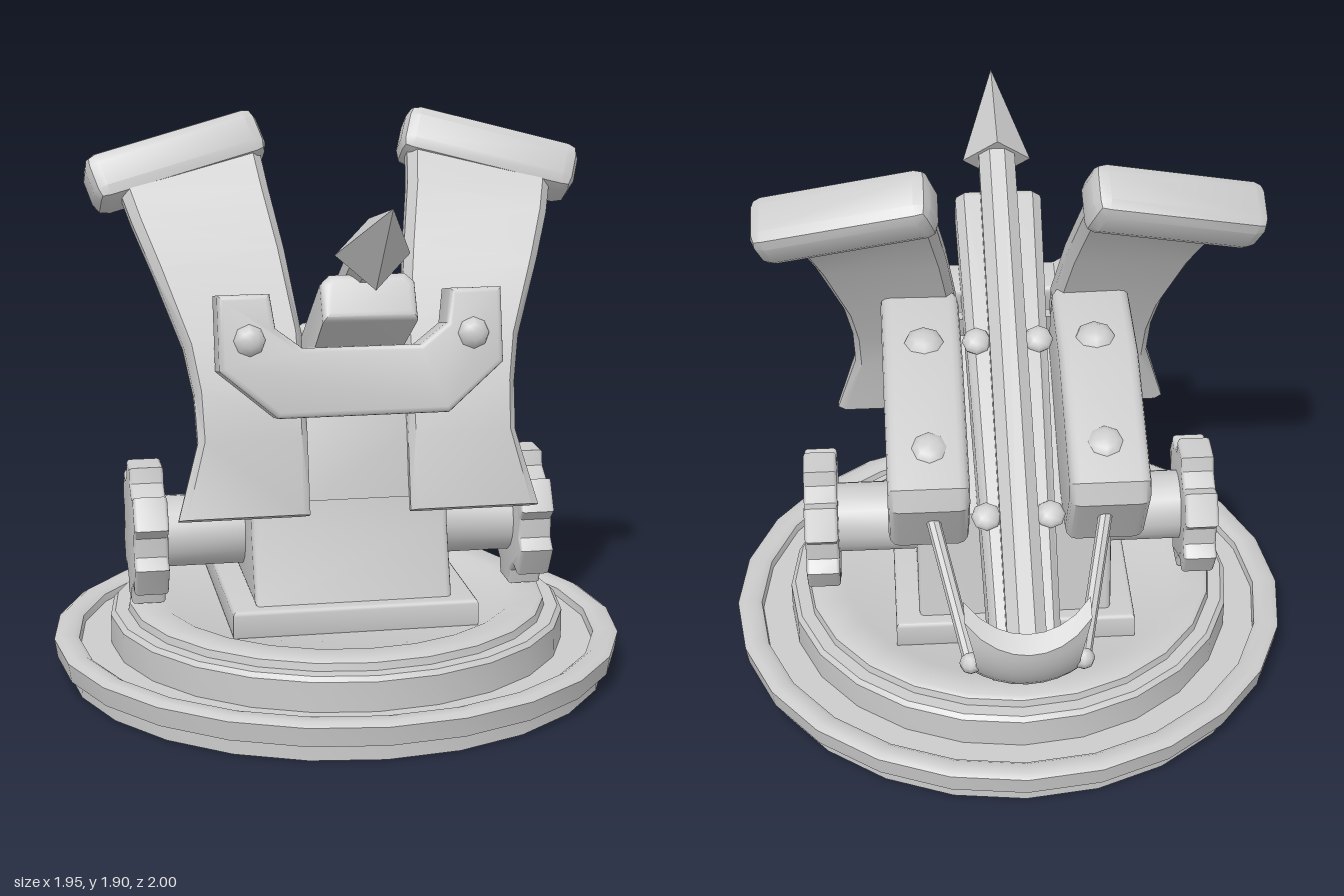
import * as THREE from 'three';
import { toCreasedNormals } from 'three/addons/utils/BufferGeometryUtils.js';
import { RoundedBoxGeometry } from 'three/addons/geometries/RoundedBoxGeometry.js';

const grey = new THREE.MeshStandardMaterial({ color: 0xcccccc });

function part(name, geometry, parent, x = 0, y = 0, z = 0, crease = 0.65) {
  const mesh = new THREE.Mesh(toCreasedNormals(geometry, crease), grey);
  mesh.name = name;
  mesh.position.set(x, y, z);
  parent.add(mesh);
  return mesh;
}

// Slab with rounded edges, centred in depth, from a list of [x, y] corners
function slab(points, depth, bevel) {
  const shape = new THREE.Shape(points.map(([x, y]) => new THREE.Vector2(x, y)));
  const geo = new THREE.ExtrudeGeometry(shape, {
    depth: depth - 2 * bevel, bevelThickness: bevel, bevelSize: bevel, bevelOffset: -bevel, bevelSegments: 3,
  });
  return geo.translate(0, 0, bevel - depth / 2);
}

// Same, but the corners are [z, y] and the depth runs along x
const sideSlab = (points, width, bevel) => slab(points, width, bevel).rotateY(-Math.PI / 2);

// Skin over equal rings of points, closed at both ends
function loft(rings) {
  const n = rings[0].length, index = [];
  for (let r = 0; r < rings.length - 1; r++) {
    for (let i = 0; i < n; i++) {
      const a = r * n + i, b = r * n + (i + 1) % n;
      index.push(a, b, b + n, a, b + n, a + n);
    }
  }
  const top = (rings.length - 1) * n;
  for (let i = 1; i < n - 1; i++) index.push(0, i + 1, i, top, top + i, top + i + 1);
  const geo = new THREE.BufferGeometry();
  geo.setAttribute('position', new THREE.Float32BufferAttribute(rings.flat(2), 3));
  geo.setIndex(index);
  return geo;
}

function bolt(name, parent, r, x, y, z, tilt) {
  const mesh = part(name, new THREE.SphereGeometry(r, 8, 6), parent, x, y, z, 0.9);
  mesh.scale.y = 0.65;
  mesh.rotation.x = tilt;
}

function buildBase(root) {
  // Stepped turntable with a recessed underside
  const profile = [[0, 0.085], [0.78, 0.085], [0.79, 0.07], [0.89, 0.07], [0.915, 0], [0.93, 0], [0.93, 0.055],
    [0.965, 0.06], [0.975, 0.125], [0.955, 0.138], [0.91, 0.138], [0.89, 0.125], [0.885, 0.1], [0.78, 0.1],
    [0.78, 0.2], [0.765, 0.215], [0.72, 0.215], [0.715, 0.24], [0.7, 0.25], [0.61, 0.25], [0.58, 0.235],
    [0, 0.235]].map(([x, y]) => new THREE.Vector2(x, y));
  part('turntableBase', new THREE.LatheGeometry(profile, 24), root, 0, 0, 0.02);
  part('pedestalPlate', slab([[-0.41, -0.405], [0.41, -0.405], [0.41, 0.405], [-0.41, 0.405]], 0.1, 0.015)
    .rotateX(-Math.PI / 2), root, 0, 0.275, 0.024);
  part('pedestal', sideSlab([[0.385, 0.32], [0.31, 0.55], [0.287, 0.68], [0.405, 0.81], [0.38, 1.06],
    [-0.29, 0.72], [-0.3, 0.6], [-0.335, 0.32]], 0.66, 0.02), root);
  // Plate joining the two wings
  part('wingTie', sideSlab([[0.455, 0.7], [0.42, 0.9], [0.35, 1.12], [0.3, 1.12], [0.38, 0.9], [0.42, 0.7]],
    0.36, 0.006), root);
}

// Parts on the model's left, mirrored for its right
function buildSide(side) {
  // Toothed wheel and axle
  const teeth = [];
  for (let i = 0; i < 6; i++) {
    const a = Math.PI / 2 + i * Math.PI / 3;
    for (const [r, d] of [[0.2, -0.36], [0.245, -0.24], [0.245, 0.24], [0.2, 0.36]]) {
      teeth.push([r * Math.cos(a + d), r * Math.sin(a + d)]);
    }
  }
  part('elevationWheel', sideSlab(teeth, 0.115, 0.012), side, 0.655, 0.495, 0.024);
  part('axle', new THREE.CylinderGeometry(0.122, 0.122, 0.34, 16).rotateZ(Math.PI / 2), side, 0.46, 0.493, 0.024);

  // Side housing with bolts
  part('sideHousing', sideSlab([[0.233, 1.276], [-0.097, 1.245], [-0.56, 1.03], [-0.575, 0.95], [-0.43, 0.708],
    [-0.287, 0.708], [0.367, 0.82], [0.395, 0.874]], 0.265, 0.035), side, 0.292);
  bolt('housingBolt', side, 0.072, 0.285, 1.235, -0.035, -0.25);
  bolt('housingBolt', side, 0.072, 0.285, 1.07, -0.41, -0.43);

  // Curved wing: inner x, inner y, outer x, outer y, inner z, outer z, half thickness
  const rows = [
    [0.165, 0.66, 0.59, 0.66, 0.482, 0.482, 0.025],
    [0.165, 0.9, 0.52, 0.9, 0.425, 0.43, 0.04],
    [0.165, 1.05, 0.525, 1.05, 0.37, 0.38, 0.05],
    [0.165, 1.22, 0.55, 1.19, 0.295, 0.32, 0.055],
    [0.2, 1.47, 0.635, 1.42, 0.16, 0.215, 0.055],
    [0.235, 1.66, 0.69, 1.56, 0.04, 0.12, 0.055],
    [0.25, 1.77, 0.72, 1.65, -0.05, 0.04, 0.055],
  ];
  const section = [[0, 0.4], [0.06, 1], [0.94, 1], [1, 0.4], [1, -0.4], [0.94, -1], [0.06, -1], [0, -0.4]];
  part('wingShield', loft(rows.map(([xi, yi, xo, yo, zi, zo, t]) => section.map(([s, w]) => [
    xi + (xo - xi) * s, yi + (yo - yi) * s + w * t * 0.4, zi + (zo - zi) * s + w * t * 0.9,
  ]))), side);

  // Bar on top of the wing
  const cap = part('wingCap', new RoundedBoxGeometry(0.6, 0.175, 0.19, 1, 0.045), side, 0.53, 1.74, -0.05, 0.5);
  const ax = new THREE.Vector3(0.95, -0.24, 0.155).normalize();
  const az = ax.clone().cross(new THREE.Vector3(0.2, 0.85, -0.5)).normalize();
  const ay = az.clone().cross(ax);
  cap.quaternion.setFromRotationMatrix(new THREE.Matrix4().makeBasis(ax, ay, az));

  // Pull rod to the tail claw
  const from = new THREE.Vector3(0.285, 0.89, -0.5), to = new THREE.Vector3(0.18, 0.59, -0.895);
  part('pullRod', new THREE.TubeGeometry(new THREE.LineCurve3(from, to), 1, 0.023, 8), side);
  part('rodEnd', new THREE.SphereGeometry(0.036, 8, 6), side, to.x, to.y, to.z, 0.9);
}

function buildBracket(root) {
  const half = [[0.275, -0.195], [0.457, -0.04], [0.457, 0.2], [0.29, 0.2], [0.275, 0.09], [0.19, 0.025]];
  const outline = [...half, ...half.map(([x, y]) => [-x, y]).reverse()];
  const bracket = new THREE.Group();
  bracket.name = 'frontBracket';
  bracket.position.set(0, 1.18, 0.45);
  bracket.rotation.x = -0.21;
  root.add(bracket);
  part('bracketPlate', slab(outline, 0.15, 0.018), bracket);
  for (const s of [-1, 1]) bolt('bracketBolt', bracket, 0.054, s * 0.36, 0.055, 0.068, Math.PI / 2);
}

// Tilted launcher: local z runs along the bolt
function buildLauncher(root) {
  const launcher = new THREE.Group();
  launcher.name = 'launcher';
  launcher.position.y = 1.135;
  launcher.rotation.x = -THREE.MathUtils.degToRad(30.5);
  root.add(launcher);

  // Rail, narrower at the tail and shallower at the nose
  const rail = slab([[-0.15, -0.22], [0.15, -0.22], [0.15, -0.04], [0.12, -0.01], [-0.12, -0.01], [-0.15, -0.04]],
    1.73, 0.025);
  const p = rail.attributes.position;
  for (let i = 0; i < p.count; i++) {
    const front = p.getZ(i) > 0;
    p.setX(i, p.getX(i) * (front ? 1 : 0.75));
    if (front && p.getY(i) < -0.1) p.setY(i, p.getY(i) + 0.055);
  }
  part('rail', rail, launcher, 0, 0, -0.185);
  for (const s of [-1, 1]) {
    for (const z of [-0.555, 0.085]) bolt('railBolt', launcher, 0.05, s * 0.105, -0.005, z, 0);
  }
  part('harpoonShaft', new THREE.CylinderGeometry(0.068, 0.068, 1.88, 8).rotateY(Math.PI / 8).rotateX(Math.PI / 2),
    launcher, 0, 0.018, -0.13);
  part('harpoonHead', new THREE.ConeGeometry(0.118, 0.375, 4).rotateX(Math.PI / 2), launcher, 0, 0.008, 0.975);

  // Tail claw: a square plate bent to a bowl, its edges drawn in between four points
  const claw = new THREE.BoxGeometry(2, 2, 1, 8, 8, 1);
  const c = claw.attributes.position;
  for (let i = 0; i < c.count; i++) {
    const x = c.getX(i), y = c.getY(i);
    const px = 0.2 * x * (1 - 0.18 * (1 - y * y) * x * x);
    const py = 0.17 * y * (1 - 0.18 * (1 - x * x) * y * y);
    const dip = 0.32 - Math.sqrt(0.32 * 0.32 - px * px - py * py);
    c.setXYZ(i, px, py, dip + (c.getZ(i) + 0.5) * 0.07);
  }
  part('tailClaw', claw, launcher, 0, -0.005, -1.115);
}

export function createModel() {
  const root = new THREE.Group();
  root.name = 'harpoonTurret';
  buildBase(root);
  for (const s of [1, -1]) {
    const side = new THREE.Group();
    side.name = s > 0 ? 'leftSide' : 'rightSide';
    side.scale.x = s;
    buildSide(side);
    root.add(side);
  }
  buildBracket(root);
  buildLauncher(root);
  return root;
}
